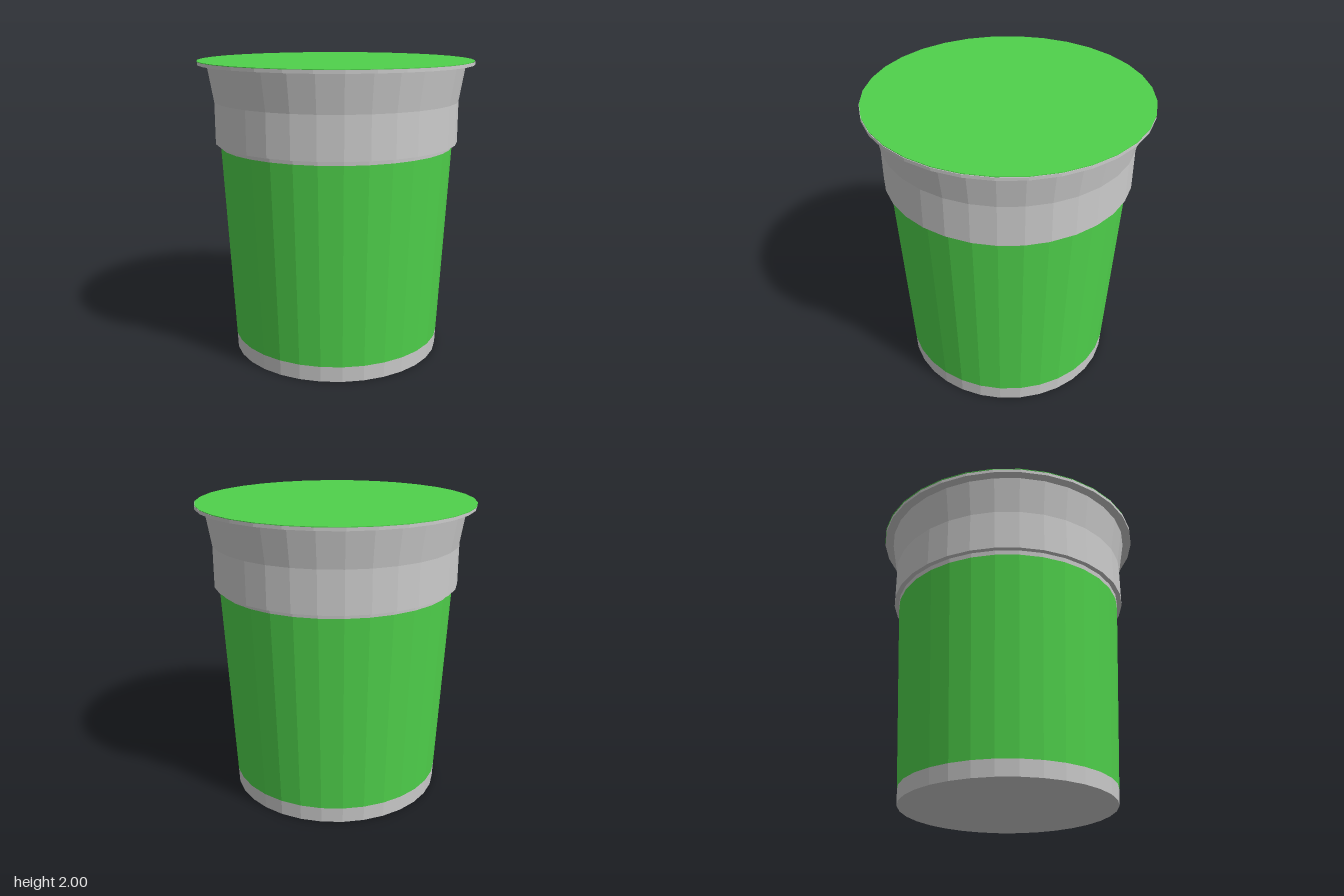
import * as THREE from 'three';

const SIDES = 32;

export function createModel() {
  const model = new THREE.Group();
  const grey = new THREE.MeshStandardMaterial({ color: 0xcccccc, flatShading: true, side: THREE.DoubleSide });
  const green = new THREE.MeshStandardMaterial({ color: 0x4fd14b, flatShading: true, side: THREE.DoubleSide });

  // Revolve a [radius, height] profile, listed from bottom to top
  const addRing = (name, profile, material) => {
    const points = profile.map(([r, y]) => new THREE.Vector2(r, y));
    const mesh = new THREE.Mesh(new THREE.LatheGeometry(points, SIDES), material);
    mesh.name = name;
    model.add(mesh);
    return mesh;
  };

  // Closed base and the plain band above it
  addRing('cupBase', [[0, 0], [0.715, 0], [0.72, 0.105]], grey);

  // Coloured tapered wall
  addRing('labelBand', [[0.72, 0.105], [0.786, 1.43]], green);

  // Plain strip, stepped collar, flared neck and rim
  addRing('collarAndRim', [
    [0.786, 1.43], [0.788, 1.46], [0.82, 1.46], [0.82, 1.735],
    [0.86, 1.975], [0.92, 1.975], [0.92, 1.996],
  ], grey);

  // Foil lid, a touch off centre
  const lid = addRing('lid', [[0.92, 1.996], [0.92, 2], [0, 2]], green);
  lid.position.x = -0.004;

  return model;
}
